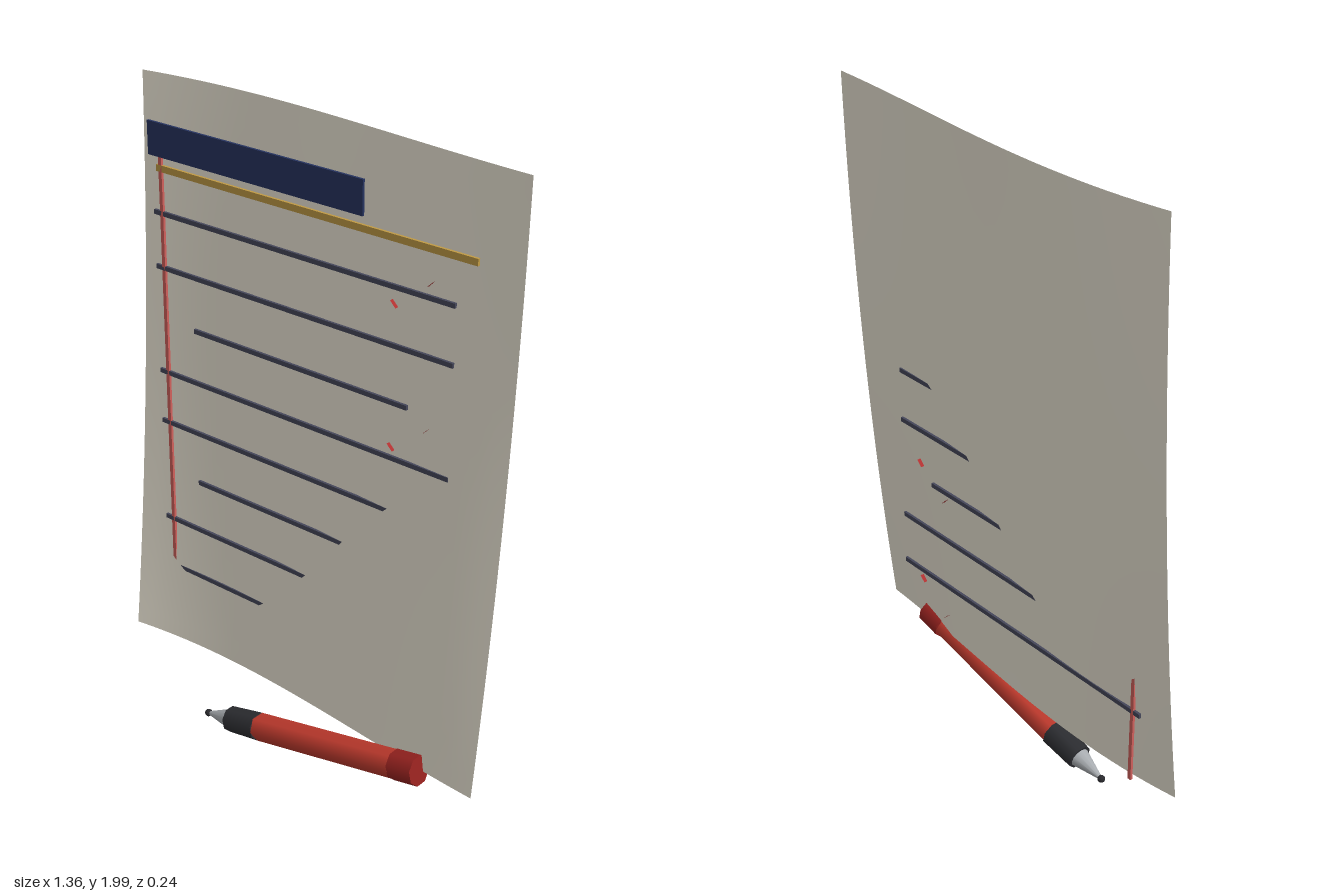
import * as THREE from 'three';

const mat = (color, side = THREE.FrontSide) => new THREE.MeshStandardMaterial({ color, side });

export function createModel() {
  const model = new THREE.Group();
  const add = (parent, name, geometry, material, x = 0, y = 0, z = 0) => {
    const mesh = new THREE.Mesh(geometry, material);
    mesh.name = name;
    mesh.position.set(x, y, z);
    parent.add(mesh);
    return mesh;
  };

  // Paper: leaning sheet, curled across its width, flatter at mid height
  const sheet = new THREE.PlaneGeometry(1.36, 1.8, 28, 36).translate(0, 1.1, 0);
  const pos = sheet.attributes.position;
  for (let i = 0; i < pos.count; i++) {
    const x = pos.getX(i), y = pos.getY(i);
    const u = x + 0.3, mid = 1 - ((y - 1.1) / 0.9) ** 2;
    const lean = -0.0695 * (y - 0.2);
    const curl = 0.175 * u * u - 0.104 * u ** 3;
    pos.setZ(i, lean + curl + mid * (0.004 - 0.06 * x * x));
  }
  sheet.computeVertexNormals();
  add(model, 'paperSheet', sheet, mat(0xece6d6, THREE.DoubleSide));

  // Flat bars lying in one upright plane that cuts through the curled sheet
  const bar = (name, x0, x1, y0, y1, color) =>
    add(model, name, new THREE.BoxGeometry(x1 - x0, y1 - y0, 0.008), mat(color),
      (x0 + x1) / 2, (y0 + y1) / 2, -0.018);
  bar('headerBlock', -0.59, 0.19, 1.79, 1.89, 0x26335f);
  bar('goldRule', -0.56, 0.56, 1.747, 1.767, 0xc09a45);
  bar('marginLine', -0.551, -0.539, 0.21, 1.79, 0xd0605c);
  for (let i = 0; i < 8; i++) {
    const indented = i % 3 === 2, y = 1.622 - i * 0.1675;
    bar('ruledLine', indented ? -0.43 : -0.575, indented ? 0.35 : 0.495, y - 0.007, y + 0.007, 0x45475a);
  }

  // Red marks: pairs of tiny edge-on slips at the right of the page
  const red = mat(0xb03030, THREE.DoubleSide);
  for (let i = 0; i < 4; i++) {
    const y = 1.58 - i * 0.42;
    for (const [dx, dy, turn] of [[0.307, 0, -1], [0.423, 0.085, 1]]) {
      const slip = new THREE.PlaneGeometry(0.026, 0.012).rotateX(-Math.PI / 2).rotateZ(turn * Math.PI / 4);
      add(model, 'markSlip', slip, red, dx, y + dy, -0.006);
    }
  }

  // Pen: built along its own y from the writing tip, then tipped over
  const pen = new THREE.Group();
  pen.name = 'pen';
  pen.position.set(-0.33, 0.025, 0.075);
  pen.rotation.z = -THREE.MathUtils.degToRad(77.4);
  model.add(pen);
  const section = (name, s0, s1, r0, r1, sides, color, start = 0) =>
    add(pen, name, new THREE.CylinderGeometry(r1, r0, s1 - s0, sides, 1, false, start),
      mat(color), 0, (s0 + s1) / 2, 0);
  add(pen, 'penBall', new THREE.SphereGeometry(0.012, 12, 8), mat(0x2a2a2e));
  section('penTip', 0.005, 0.1, 0.006, 0.032, 12, 0xa8acb0);
  section('penGrip', 0.1, 0.222, 0.041, 0.0445, 8, 0x2c2d31, Math.PI / 8);
  section('penBarrel', 0.222, 0.765, 0.0435, 0.0435, 6, 0xc23b2e);
  section('penCap', 0.765, 0.852, 0.0465, 0.0465, 8, 0x96221f, Math.PI / 8);

  return model;
}
